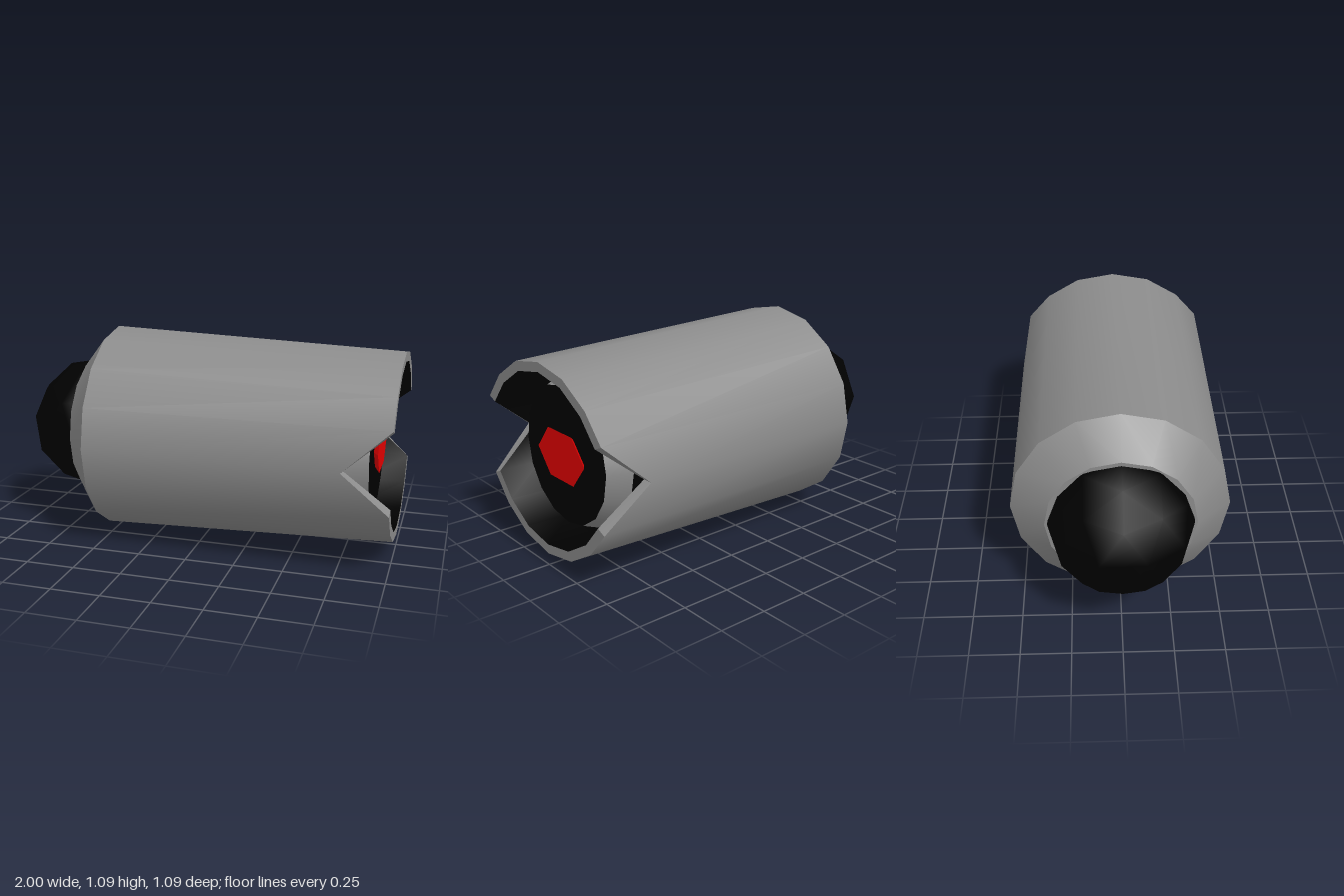
import * as THREE from 'three';
import { toCreasedNormals } from 'three/addons/utils/BufferGeometryUtils.js';

const SIDES = 16, R = 0.5425;
const grey = new THREE.MeshStandardMaterial({ color: 0x8c8c8c });
const black = new THREE.MeshStandardMaterial({ color: 0x000000 });
const red = new THREE.MeshStandardMaterial({ color: 0xe70000 });

// Skin a list of closed cross-sections, creased at the hard edges
function loft(rings) {
  const pos = rings.flat(2), index = [];
  for (let j = 0; j < rings.length - 1; j++) {
    for (let i = 0; i < SIDES; i++) {
      const a = j * SIDES + i, b = j * SIDES + (i + 1) % SIDES;
      index.push(a, b, a + SIDES, b, b + SIDES, a + SIDES);
    }
  }
  const g = new THREE.BufferGeometry();
  g.setAttribute('position', new THREE.Float32BufferAttribute(pos, 3));
  g.setIndex(index);
  return toCreasedNormals(g, 0.6);
}

// Sixteen-sided section across x
function ring(x, r) {
  return Array.from({ length: SIDES }, (_, i) => {
    const a = (i / SIDES) * Math.PI * 2;
    return [x, r * Math.cos(a), r * Math.sin(a)];
  });
}

// Body section: flattens in height towards the mouth, except near the sides
function bodyRing(x, scale = 1) {
  const flat = 1 - 0.11 * (x + 0.53) / 1.53;
  return ring(x, R * scale).map(([px, y, z]) =>
    [px, Math.abs(y) < 0.25 ? y : y * flat, z]);
}

// Mouth section: the side corners are pulled back into V notches
function mouthRing(scale) {
  return bodyRing(1, scale).map(([x, y, z]) => [Math.abs(y) < 0.01 ? 0.77 : x, y, z]);
}

export function createModel() {
  const model = new THREE.Group();
  const add = (name, geometry, material, x = 0) => {
    const mesh = new THREE.Mesh(geometry, material);
    mesh.name = name;
    mesh.position.set(x, R, 0);
    model.add(mesh);
  };

  // Casing with chamfered rear, notched mouth and thick rim
  add('casing', loft([
    ring(-0.67, 0.25), ring(-0.67, 0.37), bodyRing(-0.53), mouthRing(1), mouthRing(0.9),
  ]), grey);

  // Dark lining and floor of the mouth
  add('mouthLining', loft([
    mouthRing(0.9), bodyRing(0.76, 0.9), ring(0.76, 0.3),
  ]), black);

  // Tapered collar, dark face and undercut hexagonal lamp
  add('collar', new THREE.CylinderGeometry(0.35, 0.397, 0.12, SIDES, 1, true)
    .rotateZ(-Math.PI / 2), grey, 0.82);
  add('collarFace', new THREE.CircleGeometry(0.35, SIDES).rotateY(Math.PI / 2), black, 0.88);
  const hex = new THREE.CylinderGeometry(0.207, 0.165, 0.025, 6)
    .rotateZ(-Math.PI / 2).scale(1, 0.69, 1);
  add('lamp', toCreasedNormals(hex, 0.3), red, 0.8925);

  // Low-poly dome at the rear, one corner up and slightly tilted
  const dome = new THREE.IcosahedronGeometry(0.36, 1)
    .rotateX(-Math.atan((1 + Math.sqrt(5)) / 2))
    .rotateY(-Math.PI / 2)
    .rotateZ(-0.095);
  add('rearDome', dome, black, -0.657);

  return model;
}
